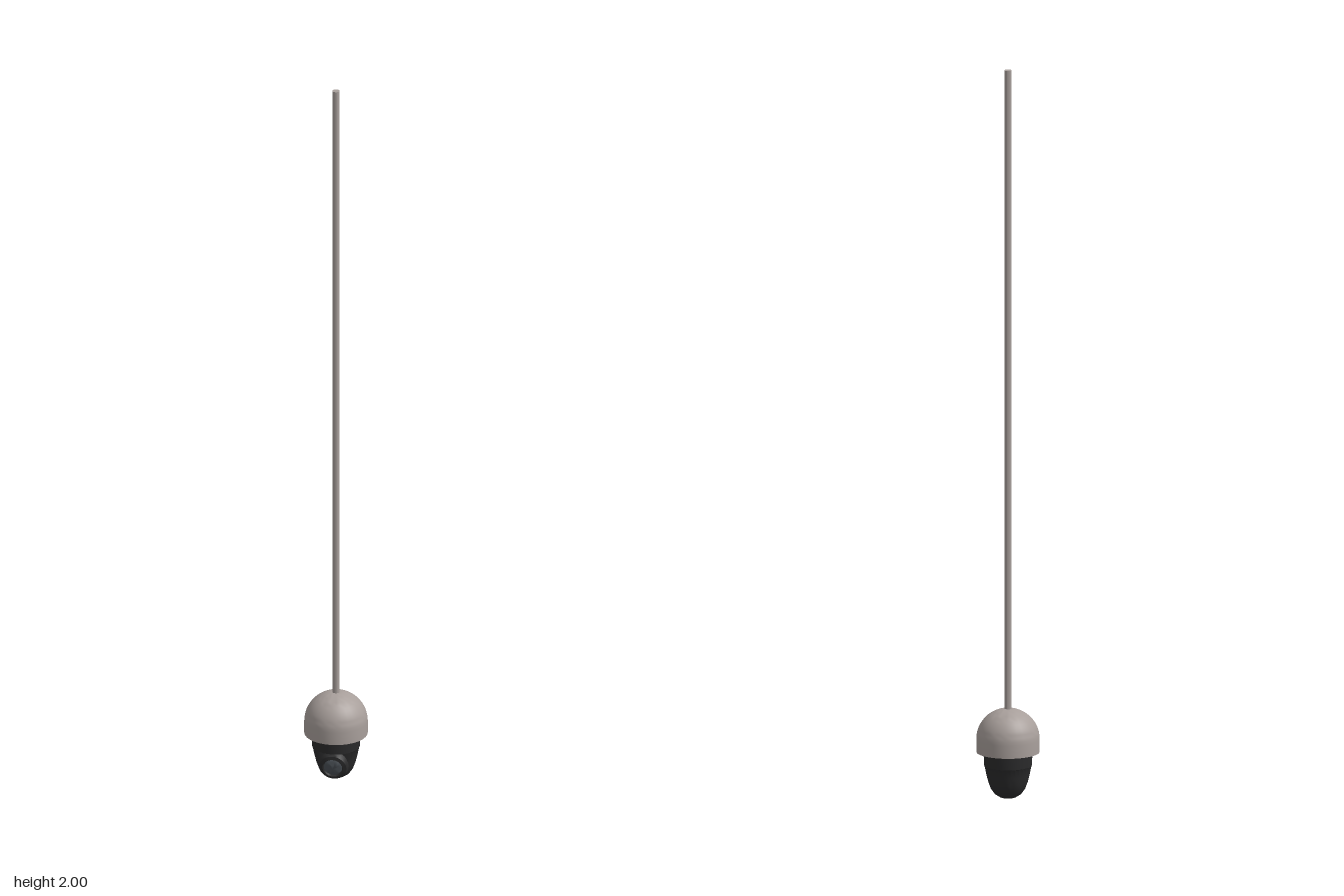
import * as THREE from 'three';
import { toCreasedNormals } from 'three/addons/utils/BufferGeometryUtils.js';

const mat = (color) => new THREE.MeshStandardMaterial({ color });

function lathe(points, segments) {
  return new THREE.LatheGeometry(points.map(([r, y]) => new THREE.Vector2(r, y)), segments);
}

function addPart(parent, name, geometry, material) {
  const mesh = new THREE.Mesh(toCreasedNormals(geometry, 0.6), material);
  mesh.name = name;
  parent.add(mesh);
  return mesh;
}

export function createModel() {
  const model = new THREE.Group();
  model.name = 'hangingDomeCamera';
  const shell = mat(0xa89f9b);
  const dark = mat(0x2b2b2c);
  const glass = mat(0x4a5056);

  // Long hanging rod
  const rod = addPart(model, 'rod', new THREE.CylinderGeometry(0.01, 0.01, 1.77, 16), shell);
  rod.position.y = 1.115;

  // Hemispherical cover with a short straight skirt and a flat underside
  const cover = [[0, 0.127], [0.085, 0.127], [0.085, 0.14]];
  for (let i = 0; i <= 14; i++) {
    const a = (i / 14) * Math.PI / 2;
    cover.push([0.085 * Math.cos(a), 0.162 + 0.084 * Math.sin(a)]);
  }
  addPart(model, 'domeCover', lathe(cover, 32), shell);

  // Tapered housing; below the front brow it is cut back to a flat face
  const brow = 0.09;
  const profile = [
    [0, 0], [0.022, 0.003], [0.036, 0.012], [0.046, 0.026], [0.053, 0.045],
    [0.058, 0.065], [0.063, brow - 0.001], [0.064, brow], [0.066, 0.128],
  ];
  const housing = lathe(profile, 32);
  const p = housing.attributes.position;
  for (let i = 0; i < p.count; i++) {
    if (p.getY(i) < brow - 0.0005) p.setZ(i, Math.min(p.getZ(i), 0.036));
  }
  addPart(model, 'housing', housing, dark);

  // Lens barrel with stepped rim, tilted slightly downwards
  const lens = new THREE.Group();
  lens.name = 'lens';
  lens.position.set(0, 0.051, 0.015);
  lens.rotation.x = 0.25;
  model.add(lens);
  const barrel = addPart(lens, 'lensBarrel', lathe([
    [0, -0.01], [0.041, -0.01], [0.041, 0.024], [0.037, 0.031],
    [0.028, 0.034], [0.025, 0.03], [0, 0.03],
  ], 24), dark);
  barrel.rotation.x = Math.PI / 2;

  // Slightly domed front glass
  const front = addPart(lens, 'lensGlass',
    lathe([[0.025, 0.03], [0.02, 0.034], [0.011, 0.037], [0, 0.038]], 24), glass);
  front.rotation.x = Math.PI / 2;

  return model;
}
